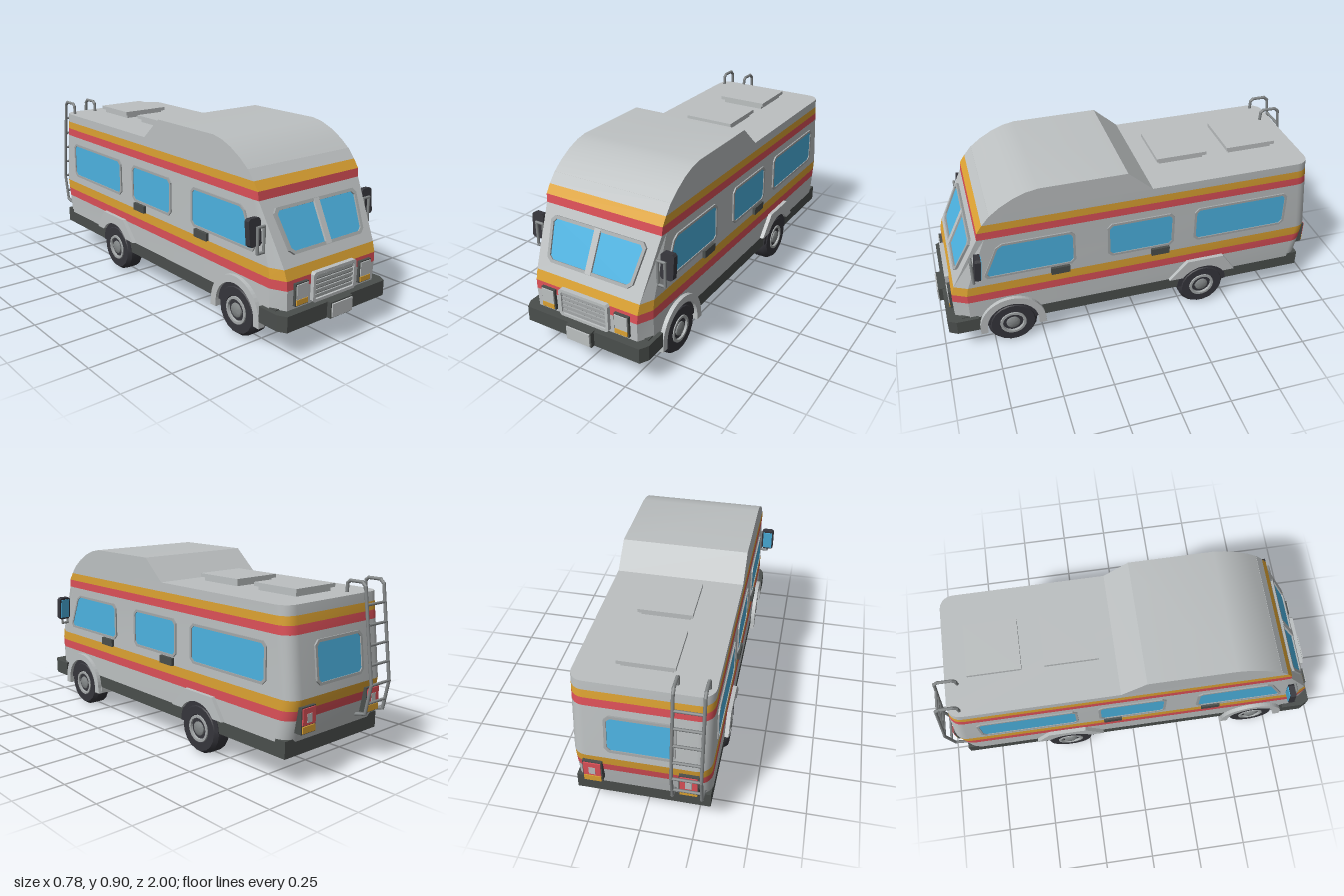
import * as THREE from 'three';
import { toCreasedNormals } from 'three/addons/utils/BufferGeometryUtils.js';

const mat = (name, color) => Object.assign(new THREE.MeshStandardMaterial({ color }), { name });
const M = {
  body: mat('body grey', 0xbcc0c1),
  frame: mat('frame grey', 0xa4a8a9),
  red: mat('stripe red', 0xdc5058),
  orange: mat('stripe orange', 0xdca232),
  glass: mat('window blue', 0x4cb2e0),
  dark: mat('skirt charcoal', 0x4a4e4c),
  rubber: mat('rubber black', 0x36363c),
  metal: mat('metal grey', 0x848889),
};

function add(parent, name, geo, material, x = 0, y = 0, z = 0) {
  const m = new THREE.Mesh(geo, material);
  m.name = name;
  m.position.set(x, y, z);
  parent.add(m);
  return m;
}
// box given by its minimum and maximum on each axis
const box = (parent, name, material, x0, x1, y0, y1, z0, z1) =>
  add(parent, name, new THREE.BoxGeometry(x1 - x0, y1 - y0, z1 - z0), material,
    (x0 + x1) / 2, (y0 + y1) / 2, (z0 + z1) / 2);
const poly = (pts) => new THREE.Shape(pts.map(([x, y]) => new THREE.Vector2(x, y)));
const extrude = (shape, depth) =>
  new THREE.ExtrudeGeometry(shape, { depth, bevelEnabled: false, curveSegments: 14 });
// shape drawn as (z, y), spanning x0..x1 on the given side
function sidePlate(shape, x0, x1, side) {
  return extrude(shape, x1 - x0).rotateY(-Math.PI / 2).translate(side > 0 ? x1 : -x0, 0, 0);
}
// round bar through a list of points
function bar(parent, name, pts, r, material) {
  const path = new THREE.CurvePath();
  const v = pts.map((p) => new THREE.Vector3(...p));
  for (let i = 1; i < v.length; i++) path.add(new THREE.LineCurve3(v[i - 1], v[i]));
  for (const c of path.curves) {
    const d = c.v2.clone().sub(c.v1);
    const m = add(parent, name, new THREE.CylinderGeometry(r, r, d.length() + r, 8), material);
    m.position.copy(c.v1).add(c.v2).multiplyScalar(0.5);
    m.quaternion.setFromUnitVectors(new THREE.Vector3(0, 1, 0), d.normalize());
  }
}
// move corners inward, and cut corners off
const toward = (c, p, d) => {
  const l = Math.hypot(p[0] - c[0], p[1] - c[1]);
  return [(p[0] - c[0]) / l * d, (p[1] - c[1]) / l * d];
};
const neighbours = (q, i) => [q[(i + q.length - 1) % q.length], q[(i + 1) % q.length]];
const inset = (q, d) => q.map((c, i) => {
  const [a, b] = neighbours(q, i).map((p) => toward(c, p, d));
  return [c[0] + a[0] + b[0], c[1] + a[1] + b[1]];
});
const chamfer = (q, d) => q.flatMap((c, i) =>
  neighbours(q, i).map((p) => toward(c, p, d)).map((o) => [c[0] + o[0], c[1] + o[1]]));
function windowShapes(corners, rim) {
  const inner = chamfer(inset(corners, rim), 0.016);
  const frame = poly(chamfer(corners, 0.022));
  frame.holes.push(new THREE.Path(inner.map(([x, y]) => new THREE.Vector2(x, y))));
  return { frame, glass: poly(inner) };
}

// plan outline of the body at one height: front z and half width, shoulder z, rear z
const W = 0.315;
function outline([y, zf, wf, zs, zb]) {
  const half = [[wf, zf], [W, zs]];
  const r = 0.065;
  for (let i = 0; i <= 5; i++) {
    const a = (i / 5) * Math.PI / 2;
    half.push([W - r + r * Math.cos(a), zb + r - r * Math.sin(a)]);
  }
  return [...half, ...half.map(([x, z]) => [-x, z]).reverse()].map(([x, z]) => [x, y, z]);
}
function bandGeometry(lo, hi, capBottom, capTop) {
  const a = outline(lo), b = outline(hi), n = a.length, pos = [];
  const tri = (...v) => v.forEach((p) => pos.push(...p));
  for (let i = 0; i < n; i++) {
    const j = (i + 1) % n;
    tri(a[i], a[j], b[j]);
    tri(a[i], b[j], b[i]);
    if (capTop && i > 0 && j > 0) tri(b[0], b[i], b[j]);
    if (capBottom && i > 0 && j > 0) tri(a[0], a[j], a[i]);
  }
  const g = new THREE.BufferGeometry();
  g.setAttribute('position', new THREE.Float32BufferAttribute(pos, 3));
  return toCreasedNormals(g, 0.45);
}

function wheel(parent, side, z) {
  const g = new THREE.Group();
  g.name = 'wheel';
  const lathe = (pts) => toCreasedNormals(
    new THREE.LatheGeometry(pts.map((p) => new THREE.Vector2(...p)), 18).rotateZ(-Math.PI / 2), 0.5);
  add(g, 'tyre', lathe([[0, -0.05], [0.105, -0.05], [0.125, -0.035], [0.125, 0.03],
    [0.11, 0.05], [0.07, 0.05], [0.066, 0.042], [0, 0.042]]), M.rubber);
  add(g, 'rim', lathe([[0.05, 0.036], [0.068, 0.036], [0.066, 0.053], [0.054, 0.053], [0.05, 0.036]]), M.frame);
  add(g, 'hub', lathe([[0, 0.036], [0.036, 0.036], [0.034, 0.05], [0.022, 0.056], [0, 0.056]]), M.metal);
  g.position.set(side * 0.273, 0.125, z);
  if (side < 0) g.rotation.y = Math.PI;
  parent.add(g);
}

export function createModel() {
  const root = new THREE.Group();
  root.name = 'camperVan';

  // body in horizontal bands, striped in two places
  const layers = [
    [0.2, 0.93, 0.275, 0.86, -0.905], [0.302, 0.932, 0.279, 0.86, -0.923],
    [0.346, 0.93, 0.281, 0.86, -0.931], [0.395, 0.915, 0.284, 0.85, -0.938],
    [0.67, 0.78, 0.313, 0.745, -0.907], [0.71, 0.775, W, 0.745, -0.902],
    [0.75, 0.748, W, 0.71, -0.897], [0.795, 0.71, W, 0.68, -0.892],
  ];
  const bands = [['lowerBody', M.body], ['lowerRedStripe', M.red], ['lowerOrangeStripe', M.orange],
    ['windowBand', M.body], ['upperRedStripe', M.red], ['upperOrangeStripe', M.orange], ['roofEdge', M.body]];
  bands.forEach(([name, m], i) =>
    add(root, name, bandGeometry(layers[i], layers[i + 1], i === 0, i === bands.length - 1), m));

  // raised roof over the cab
  const hump = poly([[-0.07, 0.794], [0.71, 0.794], [0.66, 0.833], [0.595, 0.87], [0.535, 0.893],
    [0.477, 0.904], [0.054, 0.904]]);
  add(root, 'raisedRoof', toCreasedNormals(sidePlate(hump, -W, W, 1), 0.4), M.body);

  // roof hatches
  for (const z of [-0.28, -0.65]) {
    box(root, 'hatchBase', M.body, -0.115, 0.115, 0.79, 0.815, z - 0.115, z + 0.115);
    box(root, 'hatchLid', M.body, -0.13, 0.13, 0.814, 0.832, z - 0.13, z + 0.13);
  }

  // skirt, bumper and underside
  box(root, 'skirt', M.dark, -0.314, 0.314, 0.135, 0.215, -0.905, 0.9);
  const bumper = poly([[-0.335, -0.82], [-0.335, -0.93], [-0.312, -0.972], [0.312, -0.972], [0.335, -0.93], [0.335, -0.82]]);
  add(root, 'frontBumper', extrude(bumper, 0.075).rotateX(-Math.PI / 2), M.dark, 0, 0.135, 0);
  box(root, 'plateHolder', M.dark, -0.07, 0.07, 0.137, 0.213, 0.96, 0.993);
  box(root, 'plate', M.body, -0.064, 0.064, 0.143, 0.207, 0.992, 1.0);
  box(root, 'crossBar', M.body, -W, W, 0.1, 0.137, 0.485, 0.508);

  // grille
  const grille = poly(chamfer([[-0.138, 0.215], [0.135, 0.215], [0.135, 0.355], [-0.138, 0.355]], 0.01));
  grille.holes.push(new THREE.Path(chamfer([[-0.124, 0.229], [0.121, 0.229], [0.121, 0.341], [-0.124, 0.341]], 0.006)
    .map((p) => new THREE.Vector2(...p))));
  add(root, 'grilleFrame', extrude(grille, 0.03), M.body, 0, 0, 0.92);
  box(root, 'grilleBack', M.dark, -0.126, 0.123, 0.227, 0.343, 0.92, 0.936);
  for (let i = 0; i < 5; i++) {
    const y = 0.232 + i * 0.0225;
    box(root, 'grilleSlat', M.frame, -0.125, 0.122, y, y + 0.015, 0.93, 0.944);
  }

  // windscreen on the sloping front, and the rear window
  const screen = new THREE.Group();
  screen.name = 'windscreen';
  screen.position.set(0, 0.535, 0.8465);
  screen.rotation.x = -Math.atan(0.135 / 0.275);
  const ws = windowShapes([[-0.232, -0.106], [0.232, -0.106], [0.262, 0.106], [-0.262, 0.106]], 0.015);
  add(screen, 'windscreenFrame', extrude(ws.frame, 0.012), M.frame);
  add(screen, 'windscreenGlass', extrude(ws.glass, 0.004), M.glass);
  box(screen, 'windscreenPost', M.body, -0.016, 0.016, -0.104, 0.104, 0, 0.014);
  root.add(screen);
  const rear = new THREE.Group();
  rear.name = 'rearWindow';
  rear.position.set(0, 0.535, -0.922);
  rear.rotation.set(-0.113, Math.PI, 0, 'YXZ');
  const rw = windowShapes([[-0.16, -0.1], [0.16, -0.1], [0.16, 0.1], [-0.16, 0.1]], 0.013);
  add(rear, 'rearWindowFrame', extrude(rw.frame, 0.009), M.frame);
  add(rear, 'rearWindowGlass', extrude(rw.glass, 0.004), M.glass);
  root.add(rear);

  const sideWindows = [
    [[-0.79, 0.438], [-0.29, 0.438], [-0.29, 0.632], [-0.79, 0.632]],
    [[-0.185, 0.438], [0.158, 0.438], [0.158, 0.632], [-0.185, 0.632]],
    [[0.318, 0.438], [0.775, 0.438], [0.69, 0.632], [0.318, 0.632]],
  ].map((q) => windowShapes(q, 0.012));

  // wheel arch shapes: round in front, angular behind
  const frontArch = new THREE.Shape();
  frontArch.moveTo(0.82, 0.1).lineTo(0.82, 0.13);
  frontArch.absarc(0.655, 0.13, 0.165, 0, Math.PI, false);
  frontArch.lineTo(0.485, 0.1).lineTo(0.525, 0.1);
  frontArch.absarc(0.655, 0.13, 0.13, Math.PI, 0, true);
  frontArch.lineTo(0.785, 0.1);
  const rearArch = poly([[-0.17, 0.205], [-0.265, 0.308], [-0.46, 0.308], [-0.53, 0.205], [-0.467, 0.205]]);
  rearArch.absarc(-0.355, 0.125, 0.137, Math.PI * 0.8, Math.PI * 0.2, true);

  for (const s of [1, -1]) {
    const sx = (a, b) => (s > 0 ? [a, b] : [-b, -a]);
    for (const w of sideWindows) {
      add(root, 'sideWindowFrame', sidePlate(w.frame, 0.313, 0.322, s), M.frame);
      add(root, 'sideWindowGlass', sidePlate(w.glass, 0.312, 0.318, s), M.glass);
    }
    for (const z of [0.655, -0.355]) {
      const well = new THREE.Shape();
      well.absarc(z, 0.135, 0.135, 0, Math.PI, false);
      add(root, 'wheelWell', sidePlate(well, 0.312, 0.318, s), M.rubber);
      wheel(root, s, z);
    }
    add(root, 'frontArch', sidePlate(frontArch, 0.3, 0.335, s), M.body);
    add(root, 'rearArch', sidePlate(rearArch, 0.3, 0.335, s), M.body);
    for (const z of [0.398, -0.115])
      box(root, 'doorHandle', M.dark, ...sx(0.31, 0.33), 0.395, 0.433, z - 0.047, z + 0.047);

    // headlights
    box(root, 'headlightFrame', M.dark, ...sx(0.165, 0.242), 0.226, 0.33, 0.9, 0.945);
    box(root, 'headlight', M.body, ...sx(0.17, 0.237), 0.257, 0.325, 0.942, 0.95);
    box(root, 'frontIndicator', M.orange, ...sx(0.17, 0.237), 0.231, 0.255, 0.942, 0.95);

    // tail lights
    box(root, 'tailLightFrame', M.dark, ...sx(0.175, 0.265), 0.245, 0.365, -0.949, -0.89);
    box(root, 'brakeLight', M.red, ...sx(0.18, 0.26), 0.285, 0.36, -0.955, -0.946);
    box(root, 'reverseLight', M.body, ...sx(0.205, 0.235), 0.295, 0.335, -0.957, -0.95);
    box(root, 'rearIndicator', M.orange, ...sx(0.18, 0.26), 0.25, 0.28, -0.955, -0.946);

    // wing mirrors on bent brackets
    const mirror = new THREE.Group();
    mirror.name = 'wingMirror';
    const shell = extrude(poly(chamfer([[-0.033, -0.062], [0.033, -0.062], [0.033, 0.062], [-0.033, 0.062]], 0.01)), 0.028);
    add(mirror, 'mirrorShell', shell, M.rubber, 0, 0, -0.014);
    box(mirror, 'mirrorGlass', M.glass, -0.025, 0.025, -0.052, 0.052, -0.018, -0.013);
    mirror.position.set(s * 0.355, 0.547, 0.795);
    mirror.rotation.x = -0.1;
    root.add(mirror);
    bar(root, 'mirrorBracket', [[s * 0.3, 0.455, 0.815], [s * 0.315, 0.455, 0.82], [s * 0.315, 0.572, 0.82],
      [s * 0.352, 0.572, 0.82], [s * 0.352, 0.455, 0.82], [s * 0.315, 0.455, 0.82]], 0.007, M.metal);
  }

  // ladder at the rear
  const rails = [-0.283, -0.15];
  for (const x of rails)
    bar(root, 'ladderRail', [[x, 0.79, -0.832], [x, 0.838, -0.835], [x, 0.85, -0.85], [x, 0.85, -0.915],
      [x, 0.832, -0.934], [x, 0.39, -0.991], [x, 0.25, -0.965], [x, 0.235, -0.9]], 0.008, M.metal);
  for (let i = 0; i < 6; i++) {
    const y = 0.3 + i * 0.09;
    const z = y < 0.39 ? -0.991 + (0.39 - y) * 0.186 : -0.991 + (y - 0.39) * 0.129;
    bar(root, 'ladderRung', [[rails[0], y, z], [rails[1], y, z]], 0.007, M.metal);
  }
  return root;
}
